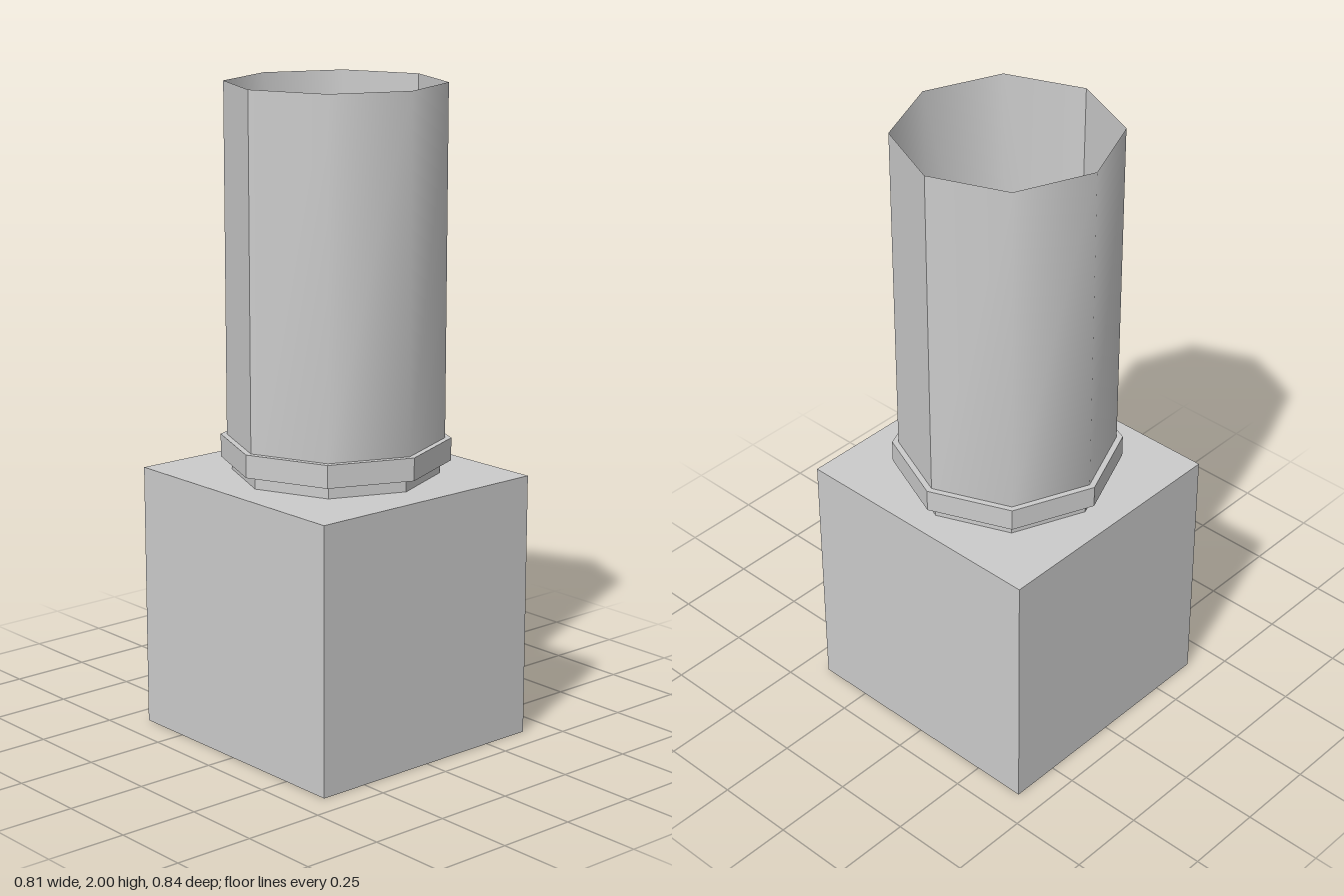
import * as THREE from 'three';
import { mergeGeometries } from 'three/addons/utils/BufferGeometryUtils.js';

const SIDES = 8;
const STEP = (Math.PI * 2) / SIDES;

const grey = (options = {}) => new THREE.MeshStandardMaterial({ color: 0xcccccc, ...options });

function addMesh(parent, name, geometry, material) {
  const mesh = new THREE.Mesh(geometry, material);
  mesh.name = name;
  parent.add(mesh);
  return mesh;
}

// Octagonal wall: two softly shaded runs of three faces, split by two flat faces
function octagonWall(topRadius, bottomRadius, bottom, top) {
  const runs = [[1, 1], [2, 3], [5, 1], [6, 3]]; // first corner, number of faces
  const parts = runs.map(([start, count]) => {
    const part = new THREE.CylinderGeometry(
      topRadius, bottomRadius, top - bottom, count, 1, true, start * STEP, count * STEP);
    part.computeVertexNormals();
    return part;
  });
  return mergeGeometries(parts).translate(0, (top + bottom) / 2, 0);
}

function octagonLathe(profile) {
  return new THREE.LatheGeometry(profile.map(([r, y]) => new THREE.Vector2(r, y)), SIDES);
}

export function createModel() {
  const model = new THREE.Group();
  model.name = 'pipeOnBlock';

  // Block that carries the pipe
  addMesh(model, 'baseBlock', new THREE.BoxGeometry(0.813, 0.82, 0.84).translate(0, 0.41, 0), grey());

  // Pipe assembly sits slightly off the block's centre
  const pipe = new THREE.Group();
  pipe.name = 'pipe';
  pipe.position.set(0.007, 0, -0.004);
  model.add(pipe);

  // Short neck and the wider collar above it
  addMesh(pipe, 'neck', octagonLathe([[0.316, 0.82], [0.316, 0.86]]), grey({ flatShading: true }));
  addMesh(pipe, 'collar',
    octagonLathe([[0.316, 0.86], [0.35, 0.86], [0.35, 0.93], [0.33, 0.93]]),
    grey({ flatShading: true }));

  // Straight outside and slightly tapered inside, meeting in a sharp rim
  addMesh(pipe, 'outerWall', octagonWall(0.331, 0.331, 0.93, 2), grey());
  addMesh(pipe, 'innerWall', octagonWall(0.331, 0.316, 0.82, 2), grey({ side: THREE.BackSide }));

  return model;
}
